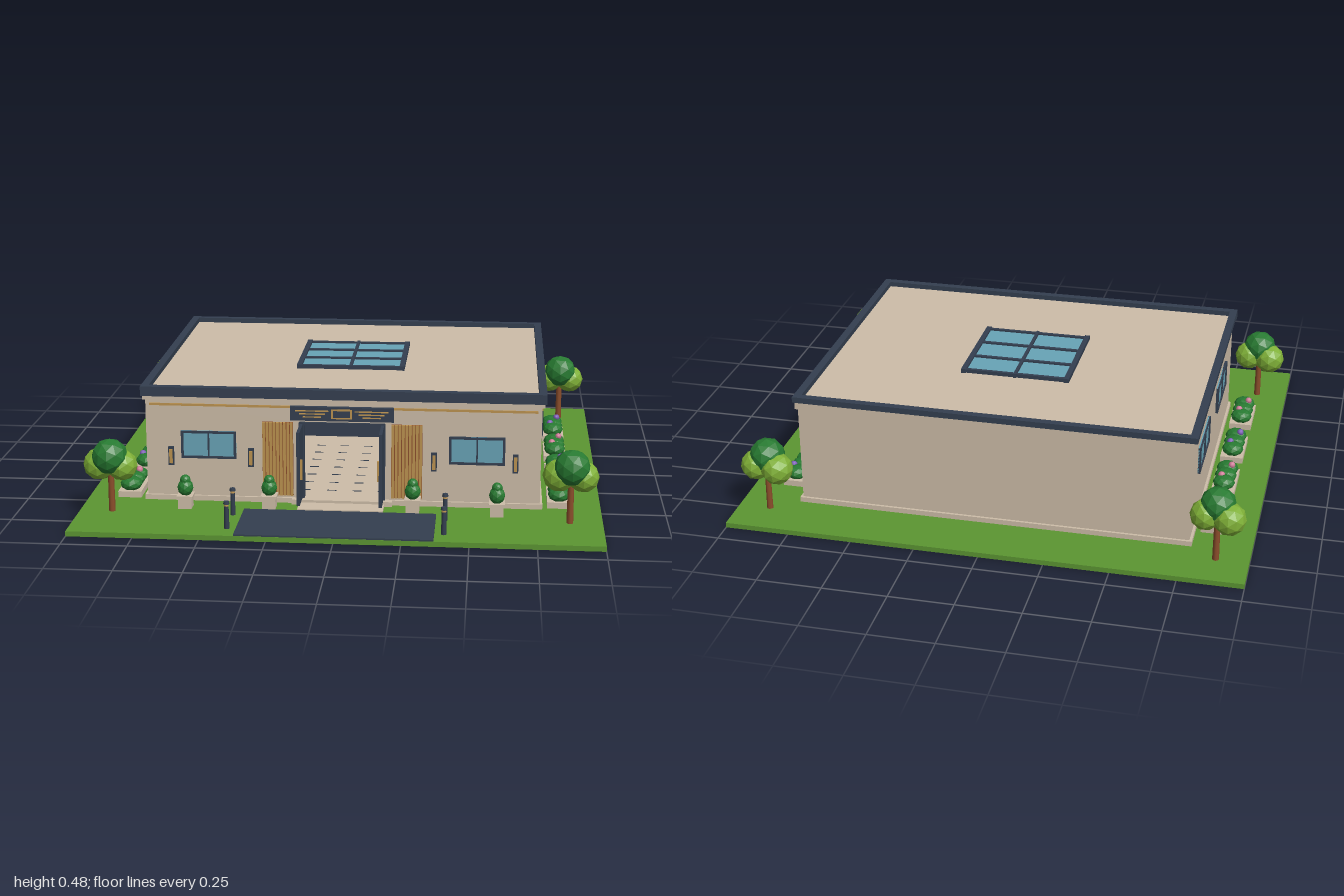
import * as THREE from 'three';

const mat = (name, color, flat = false) => {
  const m = new THREE.MeshStandardMaterial({ color, flatShading: flat });
  m.name = name;
  return m;
};

export function createModel() {
  const M = {
    grass: mat('grass green', 0x5c9632),
    stone: mat('warm beige', 0xcdbda8),
    navy: mat('dark slate', 0x343f50),
    glass: mat('window blue', 0x68a4b6),
    gold: mat('golden wood', 0xbd9350),
    brown: mat('brown', 0x8c4e2b),
    leaf: mat('deep leaf green', 0x277a31, true),
    lime: mat('light leaf green', 0x7fb037, true),
    pink: mat('pink', 0xd07a98),
    purple: mat('purple', 0x7d5cb8),
  };
  const model = new THREE.Group();

  // Box given by its min/max extents
  const box = (parent, name, m, x0, x1, y0, y1, z0, z1) => {
    const mesh = new THREE.Mesh(new THREE.BoxGeometry(x1 - x0, y1 - y0, z1 - z0), m);
    mesh.position.set((x0 + x1) / 2, (y0 + y1) / 2, (z0 + z1) / 2);
    mesh.name = name;
    parent.add(mesh);
    return mesh;
  };
  const ball = (parent, name, m, r, x, y, z, squash = 1) => {
    const mesh = new THREE.Mesh(new THREE.IcosahedronGeometry(r, 1), m);
    mesh.scale.y = squash;
    mesh.position.set(x, y, z);
    mesh.name = name;
    parent.add(mesh);
  };
  const post = (parent, name, m, r, x, y0, y1, z) => {
    const mesh = new THREE.Mesh(new THREE.CylinderGeometry(r * 0.85, r, y1 - y0, 8), m);
    mesh.position.set(x, (y0 + y1) / 2, z);
    mesh.name = name;
    parent.add(mesh);
  };
  const group = (name) => {
    const g = new THREE.Group();
    g.name = name;
    model.add(g);
    return g;
  };

  // Site
  box(model, 'lawn', M.grass, -1, 1, 0, 0.02, -0.917, 0.917);
  box(model, 'driveway', M.navy, -0.37, 0.37, 0.02, 0.026, 0.625, 0.916);
  box(model, 'entranceWalk', M.stone, -0.165, 0.165, 0.02, 0.03, 0.5, 0.625);
  box(model, 'entranceStep', M.stone, -0.195, 0.195, 0.02, 0.04, 0.5, 0.545);

  // Hollow building shell
  const shell = group('building');
  box(shell, 'plinth', M.stone, -0.775, 0.775, 0.02, 0.04, -0.695, 0.525);
  for (const s of [-1, 1]) {
    const x = s * 0.755;
    box(shell, 'sideWall', M.stone, x - 0.01, x + 0.01, 0.04, 0.43, -0.685, 0.515);
  }
  box(shell, 'backWall', M.stone, -0.745, 0.745, 0.04, 0.43, -0.685, -0.665);
  const front = new THREE.Shape();
  [[-0.745, 0.04], [-0.165, 0.04], [-0.165, 0.345], [0.165, 0.345], [0.165, 0.04],
    [0.745, 0.04], [0.745, 0.43], [-0.745, 0.43]].forEach(([x, y], i) => i ? front.lineTo(x, y) : front.moveTo(x, y));
  const frontWall = new THREE.Mesh(new THREE.ExtrudeGeometry(front, { depth: 0.02, bevelEnabled: false }), M.stone);
  frontWall.position.z = 0.495;
  frontWall.name = 'frontWall';
  shell.add(frontWall);
  box(shell, 'roofSlab', M.stone, -0.775, 0.775, 0.425, 0.458, -0.692, 0.522);

  // Parapet rim, deeper along the front
  box(shell, 'frontParapet', M.navy, -0.782, 0.782, 0.44, 0.478, 0.497, 0.528);
  box(shell, 'backParapet', M.navy, -0.782, 0.782, 0.455, 0.478, -0.698, -0.669);
  for (const s of [-1, 1]) {
    const x = s * 0.767;
    box(shell, 'sideParapet', M.navy, x - 0.015, x + 0.015, 0.455, 0.478, -0.669, 0.497);
    box(shell, 'sideTrim', M.gold, s * 0.767 - 0.003, s * 0.767 + 0.003, 0.403, 0.412, -0.65, 0.485);
  }
  box(shell, 'frontTrim', M.gold, -0.75, 0.75, 0.402, 0.411, 0.513, 0.519);

  // Skylight, three rows of two panes
  const sky = group('skylight');
  box(sky, 'skylightGlass', M.glass, -0.205, 0.205, 0.457, 0.466, -0.29, 0.115);
  for (const x of [-0.208, 0, 0.208]) {
    const w = x ? 0.01 : 0.006;
    box(sky, 'skylightBar', M.navy, x - w, x + w, 0.457, 0.475, -0.302, 0.128);
  }
  for (const z of [-0.29, -0.157, -0.02, 0.115]) box(sky, 'skylightCrossbar', M.navy, -0.21, 0.21, 0.457, 0.473, z - 0.007, z + 0.007);

  // Windows, built facing +z and turned onto each wall
  const windowUnit = (w, x, y, z, turn) => {
    const g = group('window');
    const h = 0.11, t = 0.009;
    box(g, 'glass', M.glass, -w / 2, w / 2, -h / 2, h / 2, -0.002, 0.005);
    for (const px of [-w / 2 + t / 2, 0, w / 2 - t / 2]) {
      const hw = px ? t / 2 : 0.003;
      box(g, 'windowPost', M.navy, px - hw, px + hw, -h / 2, h / 2, -0.002, 0.011);
    }
    for (const s of [-1, 1]) {
      const py = s * (h / 2 - t / 2);
      box(g, 'windowRail', M.navy, -w / 2, w / 2, py - t / 2, py + t / 2, -0.002, 0.0105);
    }
    g.position.set(x, y, z);
    g.rotation.y = turn;
  };
  for (const s of [-1, 1]) {
    windowUnit(0.215, s * 0.52, 0.248, 0.515, 0);
    for (const z of [0.138, -0.387]) windowUnit(0.275, s * 0.765, 0.295, z, s * Math.PI / 2);
  }

  // Entrance: sign panel, frame, open doors, timber slats, wall lamps
  const entry = group('entrance');
  box(entry, 'canopyPanel', M.navy, -0.2, 0.2, 0.357, 0.412, 0.51, 0.532);
  box(entry, 'panelCentre', M.gold, -0.04, 0.04, 0.367, 0.405, 0.532, 0.536);
  box(entry, 'panelInset', M.navy, -0.033, 0.033, 0.373, 0.399, 0.536, 0.538);
  for (const s of [-1, 1]) {
    [0.373, 0.385, 0.397].forEach((y, i) => {
      const half = 0.035 + i * 0.015, cx = s * 0.115;
      box(entry, 'panelStripe', M.gold, cx - half, cx + half, y - 0.002, y + 0.002, 0.532, 0.536);
    });
    const jx = s * 0.157;
    box(entry, 'doorJamb', M.navy, jx - 0.01, jx + 0.01, 0.04, 0.347, 0.49, 0.524);
    box(entry, 'openDoor', M.navy, jx - 0.006, jx + 0.006, 0.052, 0.342, 0.524, 0.65);
    box(entry, 'doorHandle', M.gold, s * 0.147 - 0.004, s * 0.147 + 0.004, 0.15, 0.23, 0.622, 0.63);
    const px = s * 0.25;
    box(entry, 'slatBacking', M.brown, px - 0.06, px + 0.06, 0.05, 0.345, 0.514, 0.519);
    for (let i = 0; i < 9; i++) {
      const x = px - 0.0535 + i * 0.0134;
      box(entry, 'timberSlat', M.gold, x - 0.005, x + 0.005, 0.05, 0.345, 0.518, 0.528);
    }
    for (const lx of [0.355, 0.668]) {
      box(entry, 'lampPlate', M.navy, s * lx - 0.011, s * lx + 0.011, 0.163, 0.237, 0.514, 0.524);
      box(entry, 'lampGlow', M.gold, s * lx - 0.006, s * lx + 0.006, 0.172, 0.228, 0.522, 0.532);
    }
  }
  box(entry, 'doorHead', M.navy, -0.165, 0.165, 0.335, 0.348, 0.49, 0.523);

  // Interior seen through the doors
  const room = group('interior');
  box(room, 'timberBackWall', M.brown, -0.5, 0.5, 0.04, 0.425, -0.665, -0.655);
  box(room, 'receptionDesk', M.navy, -0.25, 0.25, 0.04, 0.1, -0.42, -0.32);
  box(room, 'deskTop', M.gold, -0.26, 0.26, 0.1, 0.106, -0.43, -0.31);
  box(room, 'monitor', M.navy, -0.02, 0.075, 0.106, 0.145, -0.37, -0.36);
  box(room, 'deskPanel', M.glass, 0.055, 0.063, 0.145, 0.2, -0.37, -0.362);
  for (let i = 0; i < 7; i++) {
    const z = 0.42 - i * 0.1;
    for (let x = -0.35; x < 0.36; x += 0.1) box(room, 'floorJoint', M.navy, x - 0.018, x + 0.018, 0.04, 0.0415, z - 0.003, z + 0.003);
  }

  // Potted shrubs and bollards
  for (const s of [-1, 1]) {
    for (const [px, z] of [[0.6, 0.605], [0.277, 0.582]]) {
      const g = group('pottedShrub'), x = s * px;
      box(g, 'pot', M.stone, x - 0.026, x + 0.026, 0.02, 0.064, z - 0.026, z + 0.026);
      box(g, 'potRim', M.stone, x - 0.031, x + 0.031, 0.062, 0.072, z - 0.031, z + 0.031);
      ball(g, 'shrub', M.leaf, 0.031, x, 0.1, z, 1.1);
      ball(g, 'shrubTop', M.leaf, 0.021, x, 0.13, z);
    }
    for (const z of [0.68, 0.835]) {
      const g = group('bollard');
      post(g, 'bollardPost', M.navy, 0.01, s * 0.405, 0.02, 0.108, z);
      post(g, 'bollardLight', M.gold, 0.009, s * 0.405, 0.108, 0.116, z);
      post(g, 'bollardCap', M.navy, 0.012, s * 0.405, 0.116, 0.127, z);
    }

    // Flower beds along each side
    [-0.482, -0.19, 0.103, 0.41].forEach((z, i) => {
      const g = group('flowerBed'), x = s * 0.84;
      box(g, 'bedEdge', M.stone, x - 0.046, x + 0.046, 0.02, 0.044, z - 0.1, z + 0.1);
      for (const k of [-1, 0, 1]) {
        ball(g, 'bush', M.leaf, 0.044, x, 0.066, z + k * 0.06, 0.65);
        if (k) ball(g, 'flower', i % 2 ? M.pink : M.purple, 0.014, x + (s * 0.003 - k * 0.015), 0.089, z + k * 0.045);
      }
    });

    // Corner trees
    for (const z of [-0.765, 0.67]) {
      const g = group('tree'), x = s * 0.875;
      post(g, 'trunk', M.brown, 0.013, x, 0.02, 0.23, z);
      ball(g, 'crown', M.leaf, 0.07, x + 0.002, 0.243, z + 0.015);
      ball(g, 'crownLeft', M.lime, 0.063, x - 0.045, 0.204, z - 0.012);
      ball(g, 'crownRight', M.lime, 0.06, x + 0.045, 0.205, z + 0.002);
    }
  }
  return model;
}
